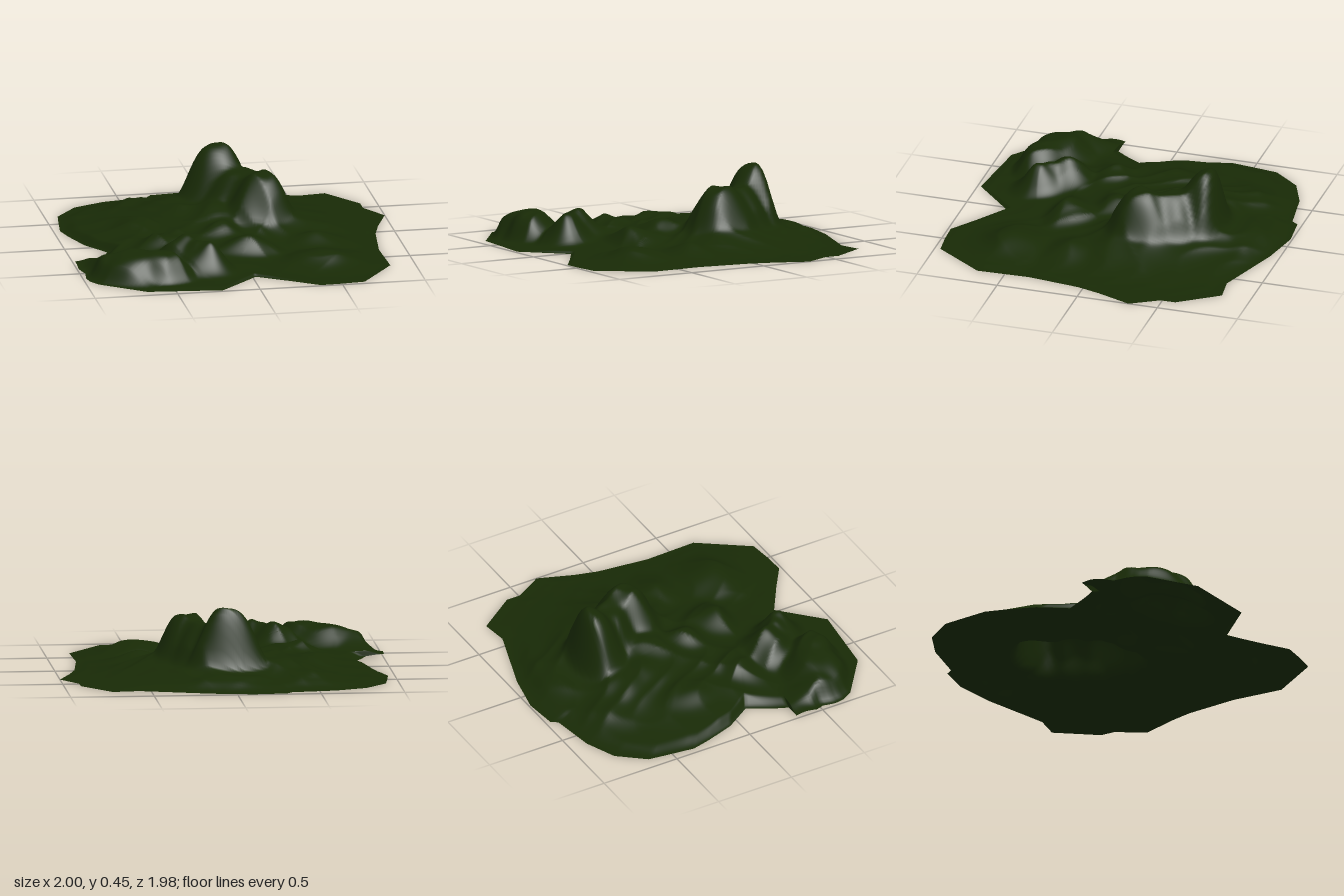
import * as THREE from 'three';

// Shoreline, clockwise seen from above: [x, z]
const OUTLINE = [
  [-0.3, -0.97], [-0.1, -0.99], [0.15, -0.94], [0.57, -0.8], [0.73, -0.82], [0.9, -0.58],
  [0.9, -0.49], [1, -0.32], [0.92, -0.11], [0.88, 0.03], [0.84, 0.35], [0.85, 0.67],
  [0.64, 0.965], [0.5, 0.98], [0.37, 0.985], [0.22, 0.88], [0.02, 0.75], [-0.22, 0.98],
  [-0.67, 0.93], [-0.93, 0.73], [-0.97, 0.66], [-0.98, 0.6], [-0.97, 0.52], [-1, 0.46],
  [-1, 0.32], [-0.89, 0.33], [-0.76, 0.11], [-0.87, -0.06], [-0.93, -0.24], [-0.96, -0.36],
  [-0.935, -0.55], [-0.92, -0.65], [-0.79, -0.81], [-0.6, -0.89], [-0.33, -0.93],
];
const CENTRE = [0, 0.45]; // every shore point is reached from here in a straight line

// Each hill: x, z, height, reach towards -x, +x, -z, +z
const MOUNTAIN = [
  [0.02, -0.51, 0.45, 0.215, 0.2, 0.105, 0.18],
  [0.14, -0.34, 0.335, 0.22, 0.18, 0.17, 0.17],
  [0.24, -0.15, 0.36, 0.23, 0.165, 0.22, 0.18],
  [-0.68, 0.66, 0.165, 0.24, 0.24, 0.22, 0.15],
  [-0.52, 0.72, 0.165, 0.16, 0.16, 0.18, 0.11],
];
const FOOTHILLS = [
  [0.03, -0.5, 0.16, 0.36, 0.36, 0.22, 0.4],
  [-0.04, -0.2, 0.175, 0.25, 0.25, 0.2, 0.25],
  [-0.3, -0.45, 0.13, 0.3, 0.3, 0.24, 0.25],
  [0.28, -0.12, 0.16, 0.4, 0.3, 0.4, 0.27],
  [-0.25, -0.05, 0.1, 0.65, 0.6, 0.65, 0.6],
  [-0.86, 0.57, 0.125, 0.1, 0.18, 0.2, 0.13],
  [-0.37, 0.49, 0.205, 0.18, 0.16, 0.17, 0.15],
  [-0.31, 0.58, 0.18, 0.12, 0.12, 0.12, 0.12],
  [-0.24, 0.64, 0.2, 0.15, 0.11, 0.16, 0.1],
  [0.05, 0.36, 0.135, 0.22, 0.18, 0.24, 0.11],
  [-0.05, 0.08, 0.15, 0.2, 0.13, 0.2, 0.16],
  [-0.55, -0.15, 0.11, 0.16, 0.2, 0.25, 0.2],
  [-0.45, 0.23, 0.13, 0.2, 0.25, 0.18, 0.14],
  [-0.24, -0.3, 0.135, 0.25, 0.2, 0.2, 0.25],
  [0.46, 0.57, 0.1, 0.22, 0.2, 0.2, 0.16],
  [0.48, 0.2, 0.08, 0.22, 0.19, 0.18, 0.16],
  [-0.43, -0.63, 0.09, 0.22, 0.25, 0.18, 0.2],
  [0.02, -0.74, 0.08, 0.34, 0.34, 0.18, 0.17],
];
// The mountain and the front ridge are steep-sided, the others have softer flanks
const HILLS = [...MOUNTAIN.map((h) => [...h, 1.5]), ...FOOTHILLS.map((h) => [...h, 0.9])];

// Height of one hill, its four flanks falling off independently
function hill([hx, hz, h, left, right, back, front, steepness], x, z) {
  const u = (x - hx) / (x < hx ? left : right);
  const v = (z - hz) / (z < hz ? back : front);
  return h * Math.exp(-Math.pow(u * u + v * v, steepness));
}

// Winding sharp-crested gullies, 0..1
function gullies(x, z) {
  const a = 1 - Math.abs(Math.sin(9 * x + 4 * z + 1.6 * Math.sin(7 * z + 2 * x)));
  const b = 1 - Math.abs(Math.sin(14 * z - 11 * x + 1.5 * Math.sin(10 * x + 1)));
  return 0.5 * a + 0.5 * b;
}

// Hills blended by a soft maximum, sinking to the shore as t goes to 1
function heightAt(x, z, t) {
  const sum = HILLS.reduce((s, h) => s + Math.pow(hill(h, x, z), 5), 0);
  const h = Math.pow(sum, 0.2);
  const shore = THREE.MathUtils.smoothstep(1 - t, 0, 0.1);
  const rough = 0.24 * THREE.MathUtils.clamp(1.3 - h * 3, 0.3, 1);
  const spur = 0.03 * Math.exp(-((x + 1) ** 2 + (z - 0.38) ** 2) / 0.012);
  return h * shore * (1 - rough / 2 + rough * gullies(x, z)) + spur;
}

// Shoreline divided into short steps, keeping its corners
function shorePoints(step) {
  const points = [];
  OUTLINE.forEach(([x, z], i) => {
    const [nx, nz] = OUTLINE[(i + 1) % OUTLINE.length];
    const n = Math.ceil(Math.hypot(nx - x, nz - z) / step);
    for (let k = 0; k < n; k++) points.push([x + (nx - x) * k / n, z + (nz - z) * k / n]);
  });
  return points;
}

export function createModel() {
  const shore = shorePoints(0.022);
  const count = shore.length;
  const rings = 80;
  const positions = [CENTRE[0], heightAt(...CENTRE, 0), CENTRE[1]];
  const indices = [];

  // Rings spreading from the centre to the shore
  for (let r = 1; r <= rings; r++) {
    const t = r / rings;
    for (const [sx, sz] of shore) {
      const x = CENTRE[0] + (sx - CENTRE[0]) * t;
      const z = CENTRE[1] + (sz - CENTRE[1]) * t;
      positions.push(x, heightAt(x, z, t), z);
    }
  }
  for (let i = 0; i < count; i++) {
    const j = (i + 1) % count;
    indices.push(0, 1 + j, 1 + i);
    for (let r = 0; r < rings - 1; r++) {
      const a = 1 + r * count, b = a + count;
      indices.push(a + i, a + j, b + i, a + j, b + j, b + i);
    }
  }

  const geometry = new THREE.BufferGeometry();
  geometry.setAttribute('position', new THREE.Float32BufferAttribute(positions, 3));
  geometry.setIndex(indices);
  geometry.computeVertexNormals();

  const material = new THREE.MeshStandardMaterial({ color: 0x182a06, side: THREE.DoubleSide });
  const terrain = new THREE.Mesh(geometry, material);
  terrain.name = 'mountainTerrain';

  const group = new THREE.Group();
  group.name = 'mountainIsland';
  group.add(terrain);
  return group;
}
